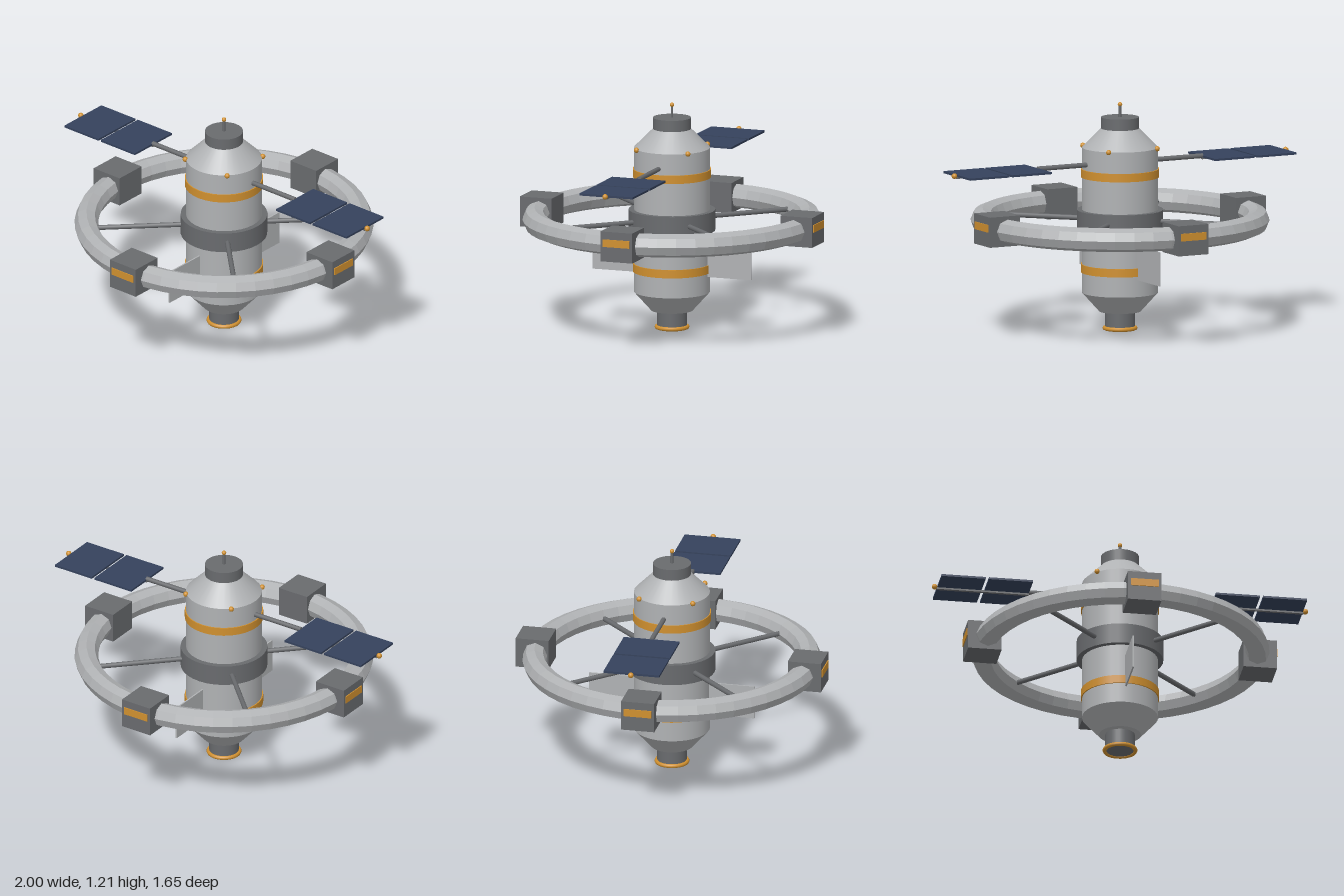
import * as THREE from 'three';

const mat = (name, color, extra = {}) => {
  const m = new THREE.MeshStandardMaterial({ color, ...extra });
  m.name = name;
  return m;
};

export function createModel() {
  const root = new THREE.Group();
  root.name = 'spaceStation';
  const hull = mat('hullGrey', 0xb0b2b4);
  const hullFlat = mat('ringGrey', 0xb0b2b4, { flatShading: true });
  const dark = mat('darkGrey', 0x696b6e);
  const orange = mat('orange', 0xd0902f);
  const navy = mat('panelNavy', 0x35425c);

  const add = (name, geo, material, x = 0, y = 0, z = 0, parent = root) => {
    const m = new THREE.Mesh(geo, material);
    m.name = name;
    m.position.set(x, y, z);
    parent.add(m);
    return m;
  };
  // Upright drum or cone between two heights
  const drum = (name, rBottom, rTop, y0, y1, material, sides = 32) =>
    add(name, new THREE.CylinderGeometry(rTop, rBottom, y1 - y0, sides), material, 0, (y0 + y1) / 2, 0);

  // Central core, stacked from the engine to the docking cap
  drum('engineNeck', 0.078, 0.078, 0.008, 0.1, dark);
  drum('lowerCone', 0.11, 0.2, 0.1, 0.2, hull);
  drum('coreHull', 0.2, 0.2, 0.2, 0.97, hull);
  drum('upperCone', 0.2, 0.1, 0.97, 1.07, hull);
  drum('dockingCap', 0.1, 0.1, 1.07, 1.13, dark);
  drum('hubCollar', 0.228, 0.228, 0.53, 0.64, dark);
  drum('lowerBand', 0.206, 0.206, 0.308, 0.352, orange);
  drum('upperBand', 0.206, 0.206, 0.813, 0.857, orange);
  add('engineRim', new THREE.TorusGeometry(0.081, 0.011, 8, 32), orange, 0, 0.011, 0).rotation.x = Math.PI / 2;

  // Antenna
  drum('antennaMast', 0.007, 0.007, 1.13, 1.2, dark, 8);
  const ball = (name, r, x, y, z, parent) => add(name, new THREE.SphereGeometry(r, 12, 8), orange, x, y, z, parent);
  ball('antennaTip', 0.012, 0, 1.197, 0);

  // Habitat ring with octagonal section
  const ringY = 0.585;
  add('habitatRing', new THREE.TorusGeometry(0.722, 0.063, 8, 48), hullFlat, 0, ringY, 0).rotation.x = Math.PI / 2;

  for (let i = 0; i < 4; i++) {
    // Ring module with a lit window on its outer face
    const module = new THREE.Group();
    module.name = 'ringModule' + (i + 1);
    module.rotation.y = i * Math.PI / 2;
    add('moduleBox', new THREE.BoxGeometry(0.178, 0.16, 0.178), dark, 0, ringY, 0.732, module);
    add('moduleWindow', new THREE.BoxGeometry(0.148, 0.04, 0.008), orange, 0, 0.604, 0.822, module);
    root.add(module);

    // Spoke and marker light on the diagonals
    const diagonal = new THREE.Group();
    diagonal.name = 'diagonal' + (i + 1);
    diagonal.rotation.y = Math.PI / 4 + i * Math.PI / 2;
    const spoke = new THREE.CylinderGeometry(0.0135, 0.0135, 0.49, 8).rotateX(Math.PI / 2);
    add('spoke', spoke, dark, 0, ringY, 0.445, diagonal);
    ball('markerLight', 0.014, 0, 0.97, 0.204, diagonal);
    root.add(diagonal);
  }

  for (const s of [1, -1]) {
    // Radiator fins, fore and aft
    add('radiatorFin', new THREE.BoxGeometry(0.008, 0.18, 0.25), hull, 0, 0.38, s * 0.32);

    // Solar wing: boom, spar, two panels and tip light
    const wing = new THREE.Group();
    wing.name = s > 0 ? 'leftSolarWing' : 'rightSolarWing';
    const boom = new THREE.CylinderGeometry(0.013, 0.013, 0.31, 8).rotateZ(Math.PI / 2);
    add('boom', boom, dark, s * 0.335, 0.889, 0, wing);
    add('spar', new THREE.BoxGeometry(0.49, 0.01, 0.016), dark, s * 0.73, 0.876, 0, wing);
    for (const x of [0.603, 0.854])
      add('solarPanel', new THREE.BoxGeometry(0.234, 0.011, 0.3), navy, s * x, 0.886, 0, wing);
    ball('tipLight', 0.015, s * 0.985, 0.886, 0, wing);
    root.add(wing);
  }
  return root;
}
